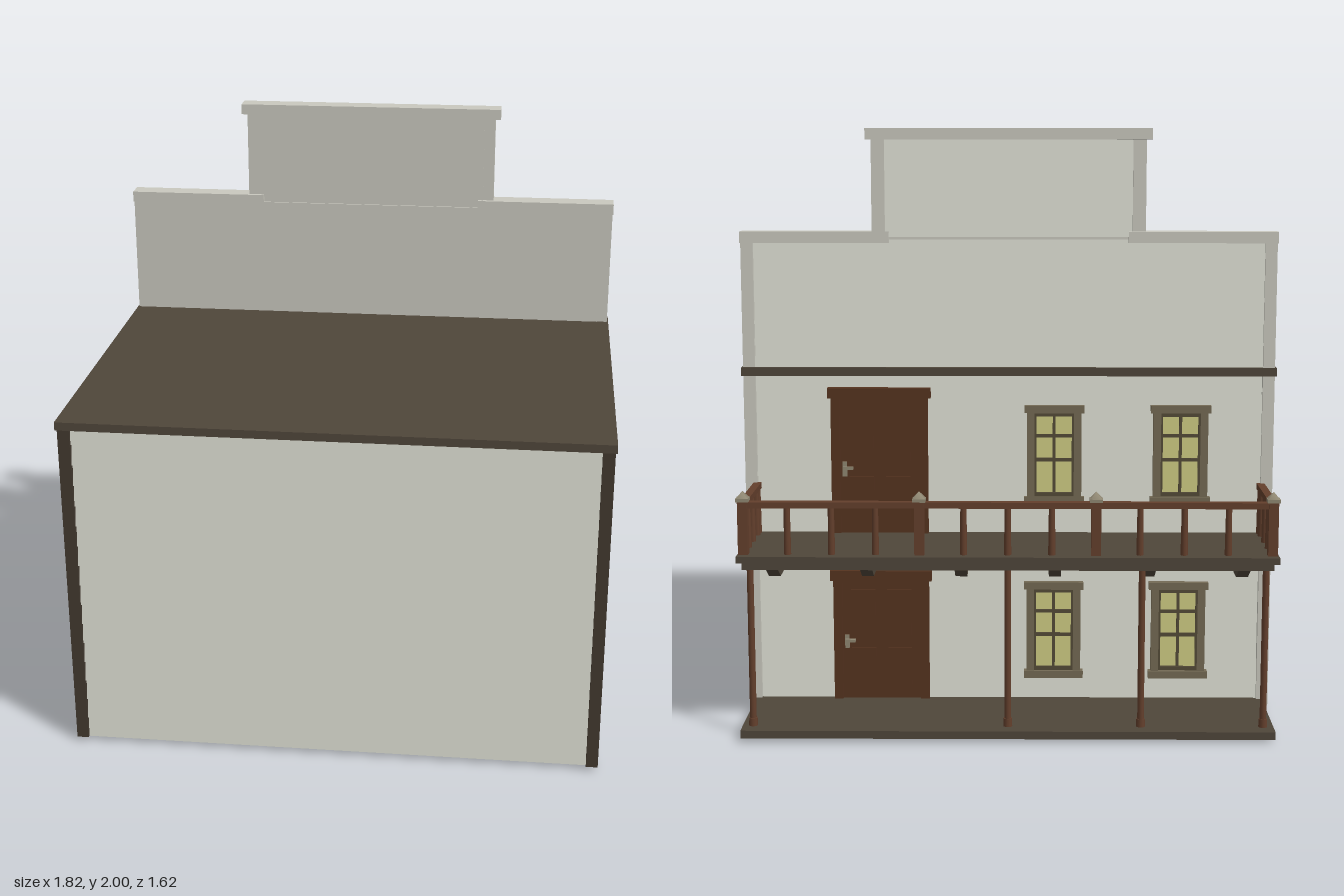
import * as THREE from 'three';

const mat = (name, color) => Object.assign(new THREE.MeshStandardMaterial({ color }), { name });
const M = {
  siding: mat('pale siding', 0xd2d3c8),
  trim: mat('light grey trim', 0xc9c8be),
  dark: mat('dark brown wood', 0x4f463a),
  corner: mat('corner post brown', 0x42392f),
  rail: mat('reddish rail wood', 0x633f2c),
  door: mat('door brown', 0x55331f),
  frame: mat('window frame', 0x746a54),
  sash: mat('window sash', 0x544b38),
  glass: mat('yellow glass', 0xcfcd84),
  metal: mat('metal and post caps', 0x8f8772),
};

function add(parent, name, geo, material, x = 0, y = 0, z = 0) {
  const m = new THREE.Mesh(geo, material);
  m.name = name;
  m.position.set(x, y, z);
  parent.add(m);
  return m;
}
// box given by its extents
const box = (p, name, material, x0, x1, y0, y1, z0, z1) =>
  add(p, name, new THREE.BoxGeometry(x1 - x0, y1 - y0, z1 - z0), material,
    (x0 + x1) / 2, (y0 + y1) / 2, (z0 + z1) / 2);

// lapped boards: sawtooth profile facing +x, extruded along the wall
function siding(p, name, length, y0, y1, angle, x, z) {
  const pitch = 0.0733, lap = 0.025, thin = 0.012;
  const s = new THREE.Shape();
  s.moveTo(0, y0);
  for (let y = y0; y < y1 - 0.005; y += pitch) {
    const top = Math.min(y + pitch, y1);
    s.lineTo(lap, y);
    s.lineTo(lap + (thin - lap) * (top - y) / pitch, top);
  }
  s.lineTo(0, y1);
  const g = new THREE.ExtrudeGeometry(s, { depth: length, bevelEnabled: false });
  g.translate(0, 0, -length / 2);
  add(p, name, g, M.siding, x, 0, z).rotation.y = angle;
}

// window facing +z, origin at its centre on the wall
function makeWindow(p, name, x, y, z, angle) {
  const w = new THREE.Group();
  w.name = name;
  box(w, 'glass', M.glass, -0.07, 0.07, -0.14, 0.14, 0, 0.009);
  for (const s of [-1, 1]) {
    box(w, 'casing', M.frame, s * 0.08 - 0.013, s * 0.08 + 0.013, -0.15, 0.15, 0, 0.024);
    box(w, 'sashSide', M.sash, s * 0.064 - 0.004, s * 0.064 + 0.004, -0.14, 0.14, 0, 0.016);
    box(w, 'sashEnd', M.sash, -0.067, 0.067, s * 0.138 - 0.007, s * 0.138 + 0.007, 0, 0.016);
  }
  box(w, 'header', M.frame, -0.102, 0.102, 0.145, 0.17, 0, 0.03);
  box(w, 'sill', M.frame, -0.102, 0.102, -0.17, -0.145, 0, 0.03);
  box(w, 'mullion', M.sash, -0.005, 0.005, -0.14, 0.14, 0, 0.014);
  for (const by of [0.065, -0.018]) box(w, 'glazingBar', M.sash, -0.067, 0.067, by - 0.006, by + 0.006, 0, 0.014);
  w.position.set(x, y, z);
  w.rotation.y = angle;
  p.add(w);
}

// door facing +z, origin at the middle of its foot
function makeDoor(p, name, x, y, z, h) {
  const d = new THREE.Group();
  d.name = name;
  box(d, 'doorLeaf', M.door, -0.14, 0.14, 0, h - 0.03, 0, 0.01);
  for (const s of [-1, 1]) {
    box(d, 'jamb', M.door, s * 0.15 - 0.015, s * 0.15 + 0.015, 0, h - 0.03, 0, 0.022);
    box(d, 'lowerPanel', M.door, s * 0.062 - 0.042, s * 0.062 + 0.042, 0.05, h * 0.4, 0, 0.016);
    box(d, 'upperPanel', M.door, s * 0.062 - 0.042, s * 0.062 + 0.042, h * 0.5, h - 0.07, 0, 0.016);
  }
  box(d, 'doorHeader', M.door, -0.175, 0.175, h - 0.035, h, 0, 0.03);
  box(d, 'handlePlate', M.metal, -0.127, -0.112, h * 0.4, h * 0.5, 0, 0.018);
  box(d, 'handle', M.metal, -0.125, -0.09, h * 0.45, h * 0.45 + 0.01, 0.018, 0.032);
  d.position.set(x, y, z);
  d.rotation.y = Math.PI;
  p.add(d);
}

export function createModel() {
  const g = new THREE.Group();
  g.name = 'twoStoreyBuilding';
  const Q = Math.PI / 2;

  // hollow walls and flat roof
  siding(g, 'frontWall', 1.74, 0.016, 1.175, -Q, 0, 0.77);
  siding(g, 'backWall', 1.76, 0.016, 1.175, Q, 0, -0.42);
  siding(g, 'leftWall', 1.19, 0.016, 1.175, 0, 0.865, 0.185);
  siding(g, 'rightWall', 1.19, 0.016, 1.175, Math.PI, -0.865, 0.185);
  box(g, 'roof', M.dark, -0.905, 0.905, 1.172, 1.2, -0.467, 0.812);
  for (const s of [-1, 1]) {
    box(g, 'frontCornerPost', M.corner, s * 0.88 - 0.02, s * 0.88 + 0.02, 0.015, 1.175, 0.76, 0.803);
    box(g, 'backCornerPost', M.trim, s * 0.88 - 0.02, s * 0.88 + 0.02, 0.015, 1.63, -0.455, -0.405);
  }

  // stepped false front above the roof
  const f = new THREE.Group();
  f.name = 'falseFront';
  g.add(f);
  box(f, 'lowerPanel', M.trim, -0.9, 0.862, 1.2, 1.63, -0.425, -0.402);
  box(f, 'upperPanel', M.trim, -0.42, 0.42, 1.63, 1.97, -0.425, -0.408);
  siding(f, 'lowerSiding', 1.74, 1.2, 1.63, Q, 0, -0.422);
  siding(f, 'upperSiding', 0.84, 1.6398, 1.97, Q, 0, -0.422);
  for (const s of [-1, 1]) {
    box(f, 'stepPost', M.trim, s * 0.437 - 0.022, s * 0.437 + 0.022, 1.62, 1.97, -0.451, -0.41);
    box(f, 'shoulderCap', M.trim, s * 0.652 - 0.25, s * 0.652 + 0.25, 1.62, 1.658, -0.465, -0.395);
  }
  box(f, 'topCap', M.trim, -0.478, 0.478, 1.963, 2, -0.465, -0.395);

  // windows on both sides and on the balcony face, and the two doors
  for (const z of [0.18, -0.13]) {
    makeWindow(g, 'leftWindow', 0.88, 0.9, z, Q);
    makeWindow(g, 'rightWindow', -0.88, 0.9, z, -Q);
  }
  for (const x of [-0.155, -0.585]) {
    makeWindow(g, 'upperWindow', x, 0.9, -0.436, Math.PI);
    makeWindow(g, 'lowerWindow', x, 0.285, -0.436, Math.PI);
  }
  makeDoor(g, 'upperDoor', 0.44, 0.62, -0.44, 0.51);
  makeDoor(g, 'lowerDoor', 0.44, 0.035, -0.44, 0.46);

  // porch floor and round posts
  box(g, 'porchFloor', M.dark, -0.88, 0.88, 0.012, 0.038, -0.8, -0.44);
  for (const x of [-0.845, -0.44, 0, 0.845]) {
    add(g, 'porchPost', new THREE.CylinderGeometry(0.011, 0.011, 0.58, 12), M.rail, x, 0.29, -0.742);
    add(g, 'porchPostBase', new THREE.CylinderGeometry(0.014, 0.016, 0.065, 12), M.rail, x, 0.0325, -0.742);
  }

  // balcony deck, beam and brackets
  const b = new THREE.Group();
  b.name = 'balcony';
  g.add(b);
  box(b, 'deck', M.dark, -0.88, 0.88, 0.605, 0.627, -0.812, -0.44);
  box(b, 'deckBeam', M.dark, -0.865, 0.865, 0.578, 0.605, -0.787, -0.44);
  const br = new THREE.Shape([[0.44, 0.58], [0.44, 0.52], [0.635, 0.52], [0.74, 0.58]].map(a => new THREE.Vector2(...a)));
  for (let i = 0; i < 6; i++) {
    const geo = new THREE.ExtrudeGeometry(br, { depth: 0.04, bevelEnabled: false });
    geo.translate(0, 0, -0.02);
    add(b, 'bracket', geo, M.dark, -0.78 + i * 0.312).rotation.y = Q;
  }

  // railing: capped posts, rails and balusters
  const px = [-0.86, -0.287, 0.287, 0.86], rz = -0.77;
  const baluster = new THREE.CylinderGeometry(0.01, 0.012, 0.16, 8);
  for (const x of px) {
    box(b, 'railPost', M.rail, x - 0.016, x + 0.016, 0.627, 0.81, rz - 0.016, rz + 0.016);
    box(b, 'postCap', M.metal, x - 0.021, x + 0.021, 0.803, 0.814, rz - 0.021, rz + 0.021);
    add(b, 'postCapTip', new THREE.ConeGeometry(0.028, 0.024, 4), M.metal, x, 0.825, rz).rotation.y = Math.PI / 4;
  }
  box(b, 'backRail', M.rail, -0.86, 0.86, 0.782, 0.802, rz - 0.014, rz + 0.014);
  for (let i = 0; i < 3; i++) {
    for (let k = 1; k < 4; k++) {
      add(b, 'baluster', baluster, M.rail, px[i] + (px[i + 1] - px[i]) * k / 4, 0.705, rz);
    }
  }
  for (const s of [-1, 1]) {
    box(b, 'sideRail', M.rail, s * 0.86 - 0.013, s * 0.86 + 0.013, 0.782, 0.802, rz, -0.445);
    for (const z of [-0.455, -0.493, -0.585, -0.674]) add(b, 'sideBaluster', baluster, M.rail, s * 0.86, 0.705, z);
  }
  return g;
}
